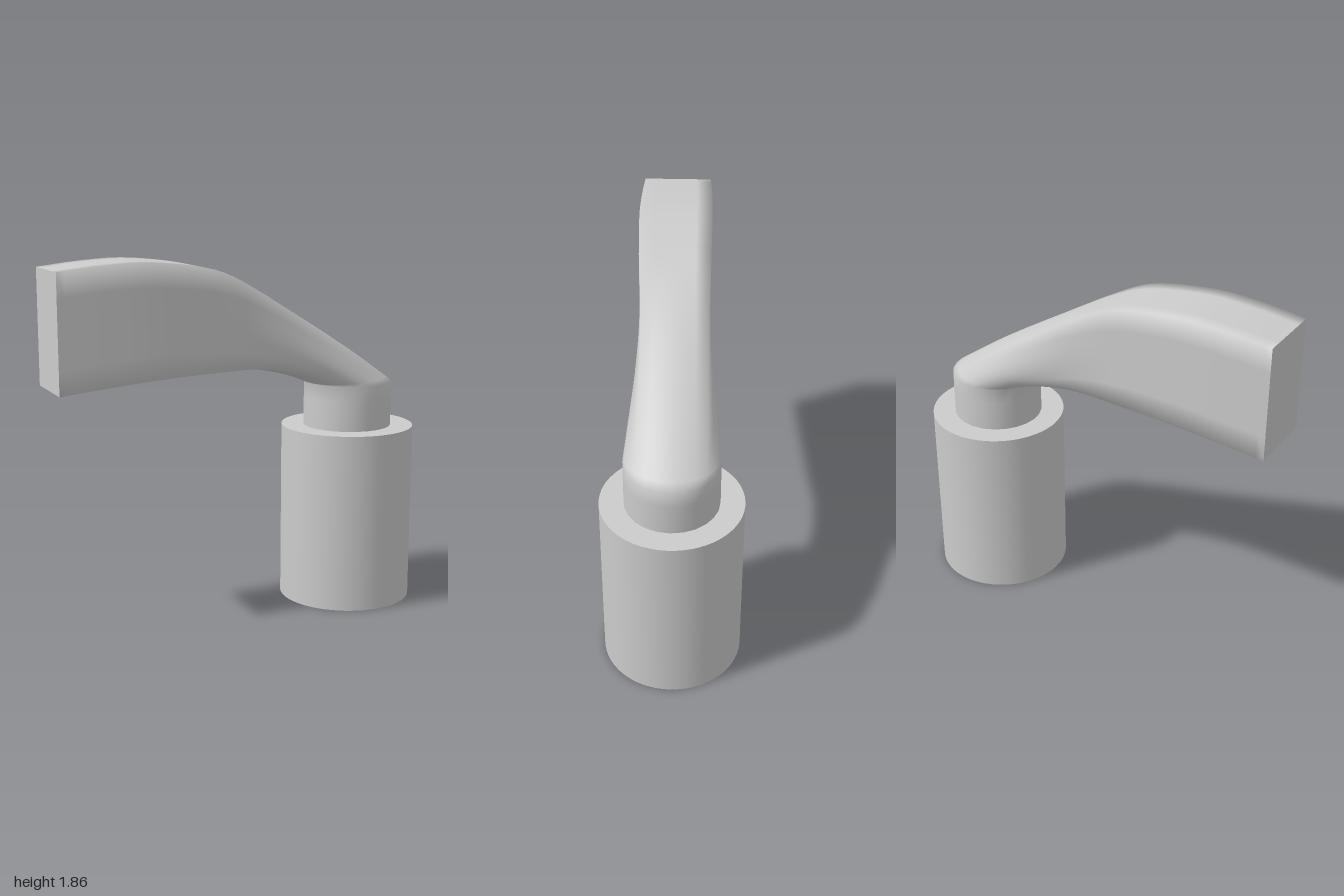
import * as THREE from 'three';

const AXIS_X = 0.645;
const SIDES = 24;

// Handle stations: lower edge x,y | upper edge x,y | back z, front z, squareness
const STATIONS = [
  [0.412, 1.18, 0.878, 1.18, -0.233, 0.233, 0],
  [0.30, 1.225, 0.62, 1.36, -0.215, 0.213, 0.2],
  [0.15, 1.265, 0.31, 1.555, -0.19, 0.192, 0.5],
  [0.0, 1.29, 0.04, 1.71, -0.172, 0.183, 0.8],
  [-0.2, 1.3, -0.2, 1.81, -0.166, 0.192, 1],
  [-0.5, 1.288, -0.52, 1.855, -0.167, 0.206, 1],
  [-0.76, 1.266, -0.77, 1.849, -0.164, 0.206, 1],
  [-1.0, 1.24, -1.0, 1.825, -0.155, 0.2, 1],
];

const spline = (pick) => new THREE.CatmullRomCurve3(
  STATIONS.map((s) => new THREE.Vector3(...pick(s))), false, 'catmullrom', 0.5);

// One cross-section: a circle blended towards a sharp rectangle
function ring(low, high, section) {
  const { x: back, y: front } = section;
  const square = THREE.MathUtils.clamp(section.z, 0, 1);
  const points = [];
  for (let j = 0; j < SIDES; j++) {
    const a = (j / SIDES) * Math.PI * 2;
    const c = Math.cos(a), s = Math.sin(a);
    const k = THREE.MathUtils.lerp(1, 1 / Math.max(Math.abs(c), Math.abs(s)), square);
    const p = low.clone().lerp(high, (c * k + 1) / 2);
    p.z = (back + front) / 2 + ((front - back) / 2) * s * k;
    points.push(p);
  }
  return points;
}

// Neck and handle in a single smooth loft
function handleGeometry() {
  const low = spline((s) => [s[0], s[1], 0]);
  const high = spline((s) => [s[2], s[3], 0]);
  const section = spline((s) => [s[4], s[5], s[6]]);
  const steps = 42;
  const rings = [];
  for (let i = 0; i <= steps; i++) {
    const t = i / steps;
    rings.push(ring(low.getPoint(t), high.getPoint(t), section.getPoint(t)));
  }
  // straight neck down into the base
  for (const y of [1.1, 0.93]) rings.unshift(rings[0].map((p) => new THREE.Vector3(p.x, y, p.z)));

  const index = [];
  for (let i = 0; i < rings.length - 1; i++) {
    for (let j = 0; j < SIDES; j++) {
      const n = (j + 1) % SIDES;
      const a = i * SIDES + j, b = a + SIDES, c = i * SIDES + n, d = c + SIDES;
      index.push(a, b, c, b, d, c);
    }
  }
  // flat end face with its own vertices
  const last = rings[rings.length - 1];
  const start = rings.length * SIDES;
  const middle = new THREE.Vector3();
  last.forEach((p) => middle.addScaledVector(p, 1 / SIDES));
  for (let j = 0; j < SIDES; j++) index.push(start + SIDES, start + ((j + 1) % SIDES), start + j);

  const geometry = new THREE.BufferGeometry().setFromPoints([...rings.flat(), ...last, middle]);
  geometry.setIndex(index);
  geometry.computeVertexNormals();
  return geometry;
}

export function createModel() {
  const model = new THREE.Group();
  model.name = 'leverHandle';
  const material = new THREE.MeshStandardMaterial({ color: 0xcccccc });

  // Round base
  const base = new THREE.Mesh(new THREE.CylinderGeometry(0.352, 0.352, 0.942, 64), material);
  base.name = 'base';
  base.position.set(AXIS_X, 0.471, 0);
  model.add(base);

  // Neck turning into the flat grip
  const handle = new THREE.Mesh(handleGeometry(), material);
  handle.name = 'neckAndHandle';
  model.add(handle);

  return model;
}
